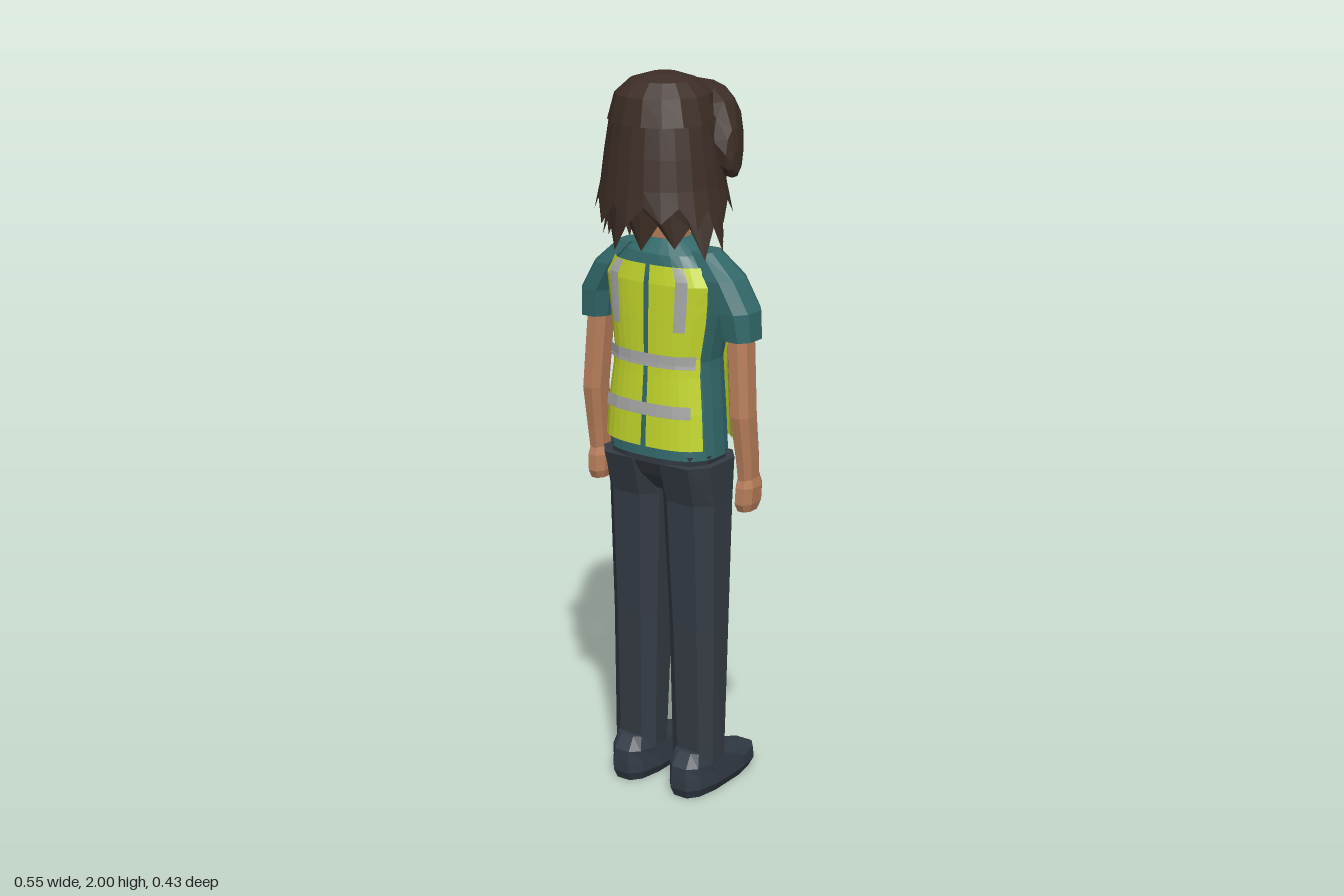
import * as THREE from 'three';

const mat = (name, color, flags = {}) =>
  Object.assign(new THREE.MeshStandardMaterial({ color, flatShading: true, ...flags }), { name });

// Skin of flat quads across a list of point rings
function loft(rings, { closed = true, caps = true } = {}) {
  const pos = [], n = rings[0].length;
  const tri = (...p) => p.forEach(q => pos.push(...q));
  for (let i = 0; i < rings.length - 1; i++) {
    for (let j = 0; j < (closed ? n : n - 1); j++) {
      const k = (j + 1) % n, a = rings[i][j], b = rings[i][k], c = rings[i + 1][k], d = rings[i + 1][j];
      tri(a, d, c);
      tri(a, c, b);
    }
  }
  if (caps) {
    const first = rings[0], last = rings[rings.length - 1];
    for (let j = 1; j < n - 1; j++) {
      tri(first[0], first[j], first[j + 1]);
      tri(last[0], last[j + 1], last[j]);
    }
  }
  const g = new THREE.BufferGeometry();
  g.setAttribute('position', new THREE.Float32BufferAttribute(pos, 3));
  g.computeVertexNormals();
  return g;
}

// Rounded-square power curve
const pw = (v, n) => Math.sign(v) * Math.pow(Math.abs(v), 2 / n);

// Horizontal ring: centre x, half width, front z (low) and back z (high)
function ring([y, cx, rx, zf, zb], sides = 8, n = 2.4) {
  return Array.from({ length: sides }, (_, j) => {
    const t = (j + 0.5) / sides * Math.PI * 2;
    return [cx + rx * pw(Math.cos(t), n) / pw(Math.cos(Math.PI / sides), n),
      y, (zf + zb) / 2 + (zb - zf) / 2 * pw(Math.sin(t), n) / pw(Math.cos(Math.PI / sides), n)];
  });
}

// Torso sections: y, half width, centre z, half depth
const TORSO = [[0.99, 0.165, 0.016, 0.111], [1.12, 0.155, 0.012, 0.108], [1.25, 0.139, 0.004, 0.106],
  [1.38, 0.16, -0.006, 0.116], [1.48, 0.168, 0.008, 0.1], [1.535, 0.115, 0.01, 0.085], [1.57, 0.06, 0.01, 0.055]];
const TN = 2.6;
function torsoAt(y) {
  let i = 0;
  while (i < TORSO.length - 2 && y > TORSO[i + 1][0]) i++;
  const a = TORSO[i], b = TORSO[i + 1], t = (y - a[0]) / (b[0] - a[0]);
  return a.map((v, k) => v + (b[k] - v) * t);
}

// Thin panel hugging the torso; side is -1 for chest, 1 for back; f is a fraction of the half width
function panel(side, f0, f1, y0, y1, offset) {
  const rows = 10, cols = 6, grid = [];
  for (let r = 0; r <= rows; r++) {
    grid.push(Array.from({ length: cols + 1 }, (_, c) => {
      const f = f0 + (f1 - f0) * c / cols;
      const top = typeof y1 === 'function' ? y1(Math.abs(f)) : y1;
      const y = y0 + (top - y0) * r / rows, [, hw, zc, hd] = torsoAt(y);
      const z = hd * Math.pow(1 - Math.pow(Math.abs(f), TN), 1 / TN) + offset;
      return [f * (hw + offset), y, zc + side * z];
    }));
  }
  return loft(grid, { closed: false, caps: false });
}

export function createModel() {
  const model = new THREE.Group();
  model.name = 'standingWorker';
  const two = { side: THREE.DoubleSide };
  const skin = mat('skin', 0xb97f5b), hair = mat('darkBrownHair', 0x3d2e26, two), teal = mat('tealShirt', 0x33696b);
  const yellow = mat('vestYellow', 0xc3d62b, two), grey = mat('reflectiveGrey', 0xa8aaa8, two);
  const dark = mat('darkTrousers', 0x353c45), shoe = mat('shoes', 0x323b45), eye = mat('eyes', 0x262a2e);
  const lip = mat('lips', 0x8f5a42), neckSkin = mat('neckSkin', 0xb97f5b, two);

  const add = (name, geometry, material, x = 0, y = 0, z = 0) => {
    const m = new THREE.Mesh(geometry, material);
    m.name = name;
    m.position.set(x, y, z);
    model.add(m);
    return m;
  };
  const stack = (name, rows, material, sides, n) => add(name, loft(rows.map(r => ring(r, sides, n))), material);

  // Shirt body
  stack('shirt', TORSO.map(([y, w, z, d]) => [y, 0, w, z - d, z + d]), teal, 24, TN);

  // Trouser seat
  stack('trouserSeat', [[0.88, 0, 0.055, -0.05, 0.06], [0.93, 0, 0.09, -0.085, 0.1],
    [0.97, 0, 0.155, -0.09, 0.12], [1.0, 0, 0.162, -0.088, 0.122]], dark, 12, 2.8);

  // Limbs on both sides
  for (const s of [-1, 1]) {
    const pre = s > 0 ? 'left' : 'right';
    const limb = (name, rows, material, sides = 8, n = 2.4) =>
      stack(pre + name, rows.map(([y, cx, ...r]) => [y, cx * s, ...r]), material, sides, n);
    limb('Leg', [[0.1, 0.098, 0.068, -0.037, 0.063], [0.5, 0.094, 0.073, -0.06, 0.075],
      [0.86, 0.089, 0.083, -0.074, 0.09], [0.975, 0.09, 0.085, -0.09, 0.125]], dark, 8, 2.8);
    limb('Shoe', [[0.005, 0.098, 0.055, -0.2, 0.1], [0.03, 0.098, 0.066, -0.22, 0.11], [0.062, 0.098, 0.064, -0.217, 0.11],
      [0.095, 0.098, 0.06, -0.13, 0.107], [0.132, 0.098, 0.05, -0.035, 0.08]], shoe, 12, 2.8);
    limb('Sleeve', [[1.325, 0.232, 0.043, -0.044, 0.066], [1.4, 0.222, 0.047, -0.052, 0.075],
      [1.48, 0.177, 0.045, -0.05, 0.075], [1.545, 0.115, 0.035, -0.03, 0.055]], teal);
    limb('Arm', [[0.93, 0.245, 0.021, -0.04, 0.03], [1.0, 0.245, 0.024, -0.035, 0.04],
      [1.12, 0.242, 0.029, -0.022, 0.06], [1.37, 0.225, 0.031, -0.03, 0.052]], skin);
    limb('Hand', [[0.853, 0.243, 0.02, -0.035, 0.03], [0.875, 0.243, 0.026, -0.05, 0.04],
      [0.92, 0.245, 0.027, -0.05, 0.038], [0.952, 0.245, 0.02, -0.038, 0.028]], skin);
    limb('Thumb', [[0.88, 0.226, 0.01, -0.06, -0.035], [0.93, 0.228, 0.01, -0.058, -0.03]], skin, 6);

    // Eyes
    add(pre + 'Eye', new THREE.BoxGeometry(0.027, 0.04, 0.008), eye, s * 0.047, 1.775, -0.096).rotation.y = s * 0.2;

    // Safety vest halves, chest and back, with shoulder strips
    for (const side of [-1, 1]) {
      const place = pre + (side < 0 ? 'Front' : 'Back');
      const top = side < 0 ? f => Math.min(1.51, 1.39 + 0.26 * f) : 1.51;
      add(place + 'Vest', panel(side, s * 0.045, s * 0.92, 1.02, top, 0.01), yellow);
      add(place + 'ShoulderStrip', panel(side, s * 0.5, s * 0.68, 1.34, 1.51, 0.016), grey);
    }
  }

  // Reflective bands around chest and back
  for (const side of [-1, 1]) {
    const place = side < 0 ? 'front' : 'back';
    add(place + 'UpperBand', panel(side, -0.87, 0.87, 1.24, 1.275, 0.017), grey);
    add(place + 'LowerBand', panel(side, -0.79, 0.79, 1.108, 1.142, 0.017), grey);
  }
  add('openCollar', panel(-1, -0.13, 0.13, 1.39, f => 1.4 + 0.2 * f, 0.006), neckSkin);

  // Neck, head and face
  stack('neck', [[1.53, 0, 0.05, -0.04, 0.06], [1.69, 0, 0.045, -0.04, 0.06]], skin);
  stack('head', [[1.625, 0, 0.032, -0.065, -0.01], [1.66, 0, 0.06, -0.08, 0.05], [1.72, 0, 0.088, -0.092, 0.1],
    [1.8, 0, 0.1, -0.1, 0.12], [1.88, 0, 0.096, -0.095, 0.12], [1.94, 0, 0.06, -0.05, 0.1]], skin, 12, 2.4);
  const nose = add('nose', new THREE.ConeGeometry(0.016, 0.045, 4), skin, 0, 1.752, -0.098);
  nose.rotation.x = -0.35;
  add('mouth', new THREE.BoxGeometry(0.034, 0.008, 0.008), lip, 0, 1.69, -0.086);

  // Hair crown: closed dome
  stack('hairCrown', [[1.88, 0, 0.142, -0.1, 0.18], [1.95, 0, 0.122, -0.085, 0.165],
    [1.985, 0, 0.085, -0.045, 0.125], [2.0, 0, 0.035, 0, 0.075]], hair, 16, 2.05);

  // Hanging hair: open at the face, with a jagged hem
  const curtain = (name, rows, from, to, jag) => {
    const n = 17;
    const rings = rows.map(([y, rx, rz], i) => Array.from({ length: n }, (_, j) => {
      const t = (from + (to - from) * j / (n - 1)) * Math.PI / 180;
      const hem = i === 0 ? (j % 2 ? jag : -jag * (0.6 + 0.4 * ((j * 5) % 3))) : 0;
      const flare = hem < 0 ? 1.05 : 1;
      return [rx * flare * Math.cos(t), y + hem, 0.04 + rz * flare * Math.sin(t)];
    }));
    add(name, loft(rings, { closed: false, caps: false }), hair);
  };
  curtain('outerHair', [[1.655, 0.177, 0.162], [1.72, 0.167, 0.158], [1.8, 0.156, 0.15], [1.89, 0.141, 0.138]], -32, 210, 0.025);
  curtain('innerHair', [[1.585, 0.176, 0.095], [1.67, 0.16, 0.11], [1.8, 0.14, 0.125]], -35, 215, 0.035);

  // Swept fringe, running across the brow to the left side: x, y, z, half height, half depth
  const fringe = [[-0.09, 1.925, -0.07, 0.025, 0.045], [-0.03, 1.915, -0.088, 0.055, 0.088], [0.05, 1.885, -0.088, 0.083, 0.087],
    [0.1, 1.86, -0.07, 0.1, 0.085], [0.145, 1.835, -0.045, 0.1, 0.07], [0.178, 1.8, -0.025, 0.065, 0.04], [0.188, 1.78, -0.02, 0.03, 0.02]];
  add('fringe', loft(fringe.map(([x, y, z, ry, rz]) => Array.from({ length: 10 }, (_, j) => {
    const t = j / 10 * Math.PI * 2;
    return [x, y + ry * Math.sin(t), z + rz * Math.cos(t)];
  }))), hair);

  return model;
}
